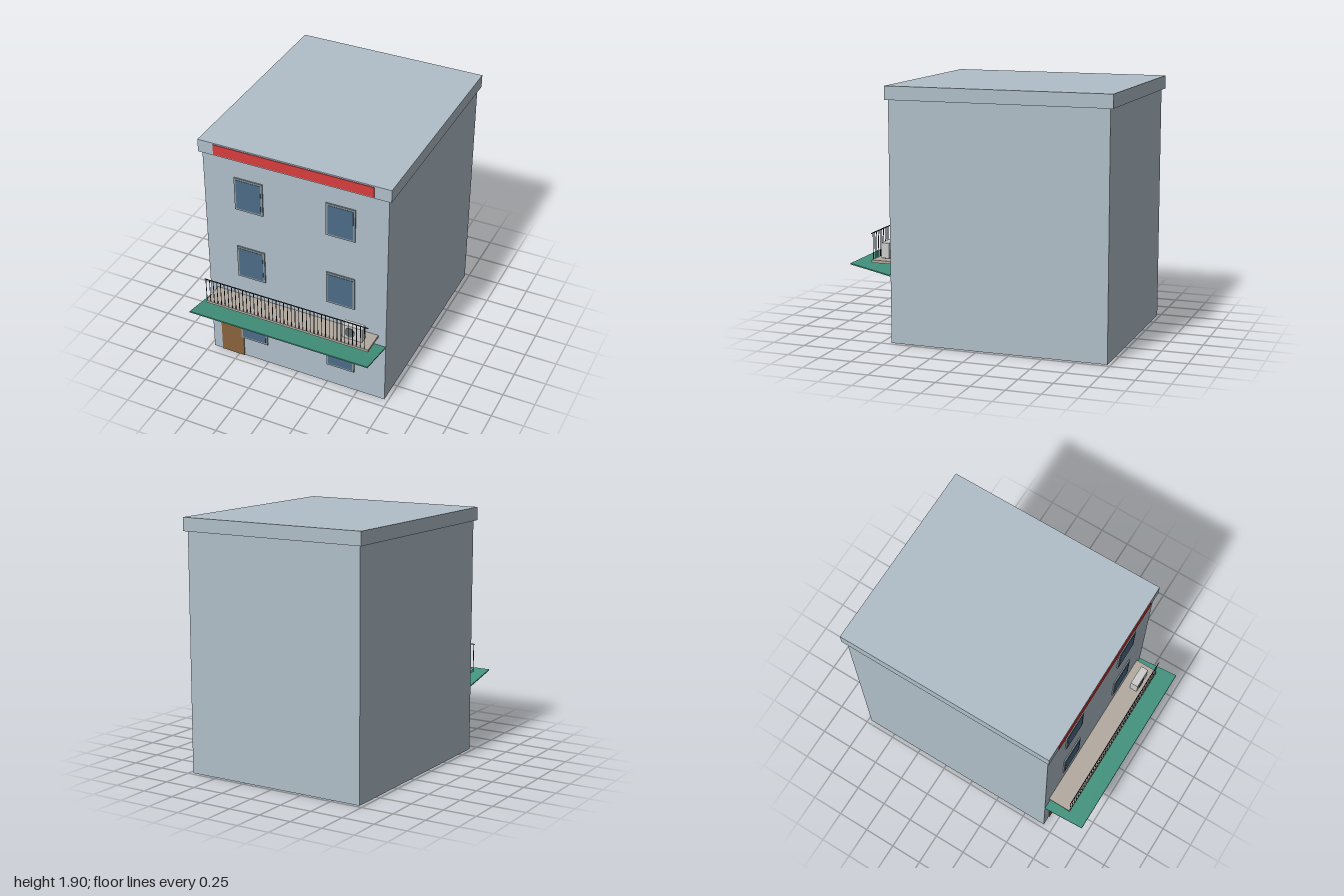
import * as THREE from 'three';

const mat = (color) => new THREE.MeshStandardMaterial({ color });
const wall = mat(0xb0bec8), frameMat = mat(0x87949a), glassMat = mat(0x4c6c86);
const doorMat = mat(0x8a633b), red = mat(0xd83c3c), green = mat(0x43947f);
const stone = mat(0xb3a9a0), dark = mat(0x2b3036), white = mat(0xd6d8d5), fanMat = mat(0x60666a);

// Box given by its minimum and maximum corners
function box(name, material, [x0, y0, z0], [x1, y1, z1]) {
  const mesh = new THREE.Mesh(new THREE.BoxGeometry(x1 - x0, y1 - y0, z1 - z0), material);
  mesh.position.set((x0 + x1) / 2, (y0 + y1) / 2, (z0 + z1) / 2);
  mesh.name = name;
  return mesh;
}

const FACE = 0.675; // z of the front wall

function createWindow(x, y) {
  const g = new THREE.Group();
  g.name = 'window';
  g.add(box('windowFrame', frameMat, [-0.1125, -0.135, -0.005], [0.1125, 0.135, 0.01]));
  g.add(box('windowGlass', glassMat, [-0.098, -0.12, 0], [0.098, 0.12, 0.0125]));
  g.position.set(x, y, FACE);
  return g;
}

function createBalcony() {
  const g = new THREE.Group();
  g.name = 'balcony';
  g.add(box('balconySlab', stone, [-0.66, 0.58, FACE - 0.005], [0.66, 0.6, 0.855]));
  g.add(box('handrail', dark, [-0.66, 0.796, 0.851], [0.66, 0.802, 0.857]));
  // Evenly spaced balusters along the front edge
  for (let i = 0; i < 43; i++) {
    const x = -0.652 + i * 0.0305;
    g.add(box('baluster', dark, [x - 0.002, 0.598, 0.852], [x + 0.002, 0.798, 0.856]));
  }
  return g;
}

function createAirConditioner() {
  const g = new THREE.Group();
  g.name = 'airConditioner';
  g.add(box('casing', white, [0.43, 0.605, 0.745], [0.59, 0.72, 0.805]));
  for (const x of [0.45, 0.56]) g.add(box('foot', dark, [x, 0.598, 0.75], [x + 0.012, 0.606, 0.8]));
  const fan = new THREE.Mesh(new THREE.CylinderGeometry(0.04, 0.04, 0.01, 24), fanMat);
  fan.name = 'fan';
  fan.rotation.x = Math.PI / 2;
  fan.position.set(0.492, 0.663, 0.805);
  g.add(fan);
  return g;
}

// Thin sheet rising outward from the wall
function createAwning() {
  const z0 = FACE - 0.003, z1 = 0.999, y0 = 0.505, y1 = 0.573;
  const geo = new THREE.BoxGeometry(1.44, 0.009, Math.hypot(z1 - z0, y1 - y0));
  const awning = new THREE.Mesh(geo, green);
  awning.name = 'awning';
  awning.position.set(0, (y0 + y1) / 2, (z0 + z1) / 2);
  awning.rotation.x = -Math.atan2(y1 - y0, z1 - z0);
  return awning;
}

export function createModel() {
  const model = new THREE.Group();
  model.name = 'apartmentBuilding';
  model.add(box('walls', wall, [-0.72, 0, -0.975], [0.72, 1.8, FACE]));
  model.add(box('roofParapet', wall, [-0.743, 1.8, -1], [0.743, 1.9, 0.695]));
  model.add(box('signBoard', red, [-0.62, 1.81, 0.69], [0.616, 1.89, 0.7]));
  model.add(box('door', doorMat, [-0.645, 0, FACE - 0.005], [-0.455, 0.412, FACE + 0.007]));
  for (const y of [0.312, 0.912, 1.512])
    for (const x of [-0.36, 0.36]) model.add(createWindow(x, y));
  model.add(createBalcony(), createAirConditioner(), createAwning());
  return model;
}
